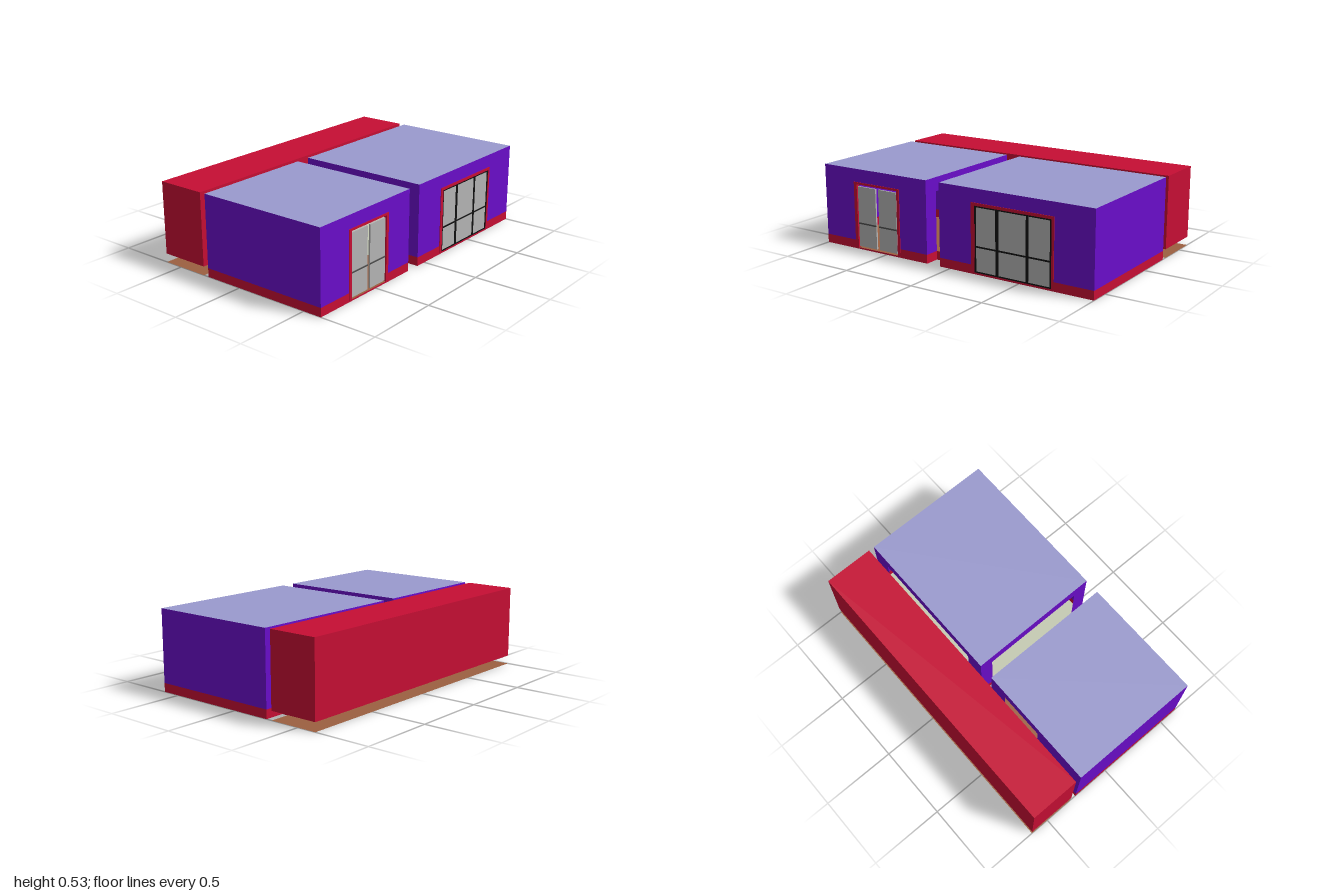
import * as THREE from 'three';
import { mergeGeometries } from 'three/addons/utils/BufferGeometryUtils.js';

const mat = (name, color, side = THREE.DoubleSide) => {
  const m = new THREE.MeshStandardMaterial({ color, side });
  m.name = name;
  return m;
};

export function createModel() {
  const M = {
    purple: mat('purple wall', 0x6a0dca),
    red: mat('red paint', 0xc60e34),
    ceiling: mat('lavender ceiling', 0x9a9ace),
    wood: mat('brown floor', 0x9c6040),
    tile: mat('pale green floor', 0xc5cab2),
    pane: mat('grey pane', 0xb4b4b4, THREE.FrontSide),
    bar: mat('dark grey bar', 0x505050, THREE.FrontSide),
    black: mat('black frame', 0x101010, THREE.FrontSide),
  };
  const model = new THREE.Group();
  const H = 0.53, BASE = 0.057, DOOR = 0.44;
  const F = 0.626, RB = -0.259, CF = -0.298, CB = -0.629; // room front/back, hall front/back

  const add = (parent, name, geo, material) => {
    const mesh = new THREE.Mesh(geo, material);
    mesh.name = name;
    parent.add(mesh);
    return mesh;
  };
  const group = (name) => {
    const g = new THREE.Group();
    g.name = name;
    model.add(g);
    return g;
  };
  const box = (parent, name, x0, x1, y0, y1, z0, z1, material) => add(parent, name,
    new THREE.BoxGeometry(x1 - x0, y1 - y0, z1 - z0)
      .translate((x0 + x1) / 2, (y0 + y1) / 2, (z0 + z1) / 2), material);

  // Horizontal sheet for floors and ceilings
  const slab = (parent, name, x0, x1, z0, z1, y, material) => add(parent, name,
    new THREE.PlaneGeometry(x1 - x0, z1 - z0).rotateX(-Math.PI / 2)
      .translate((x0 + x1) / 2, y, (z0 + z1) / 2), material);

  // Thin upright band from a to b with an optional opening [a, b, bottom, top]
  const band = (parent, name, axis, at, a, b, lo, hi, hole, material) => {
    let rects = [[a, b, lo, hi]];
    if (hole) {
      const [ha, hb, h0, h1] = hole;
      rects = [[a, ha, lo, hi], [hb, b, lo, hi],
        [ha, hb, lo, Math.min(h0, hi)], [ha, hb, Math.max(h1, lo), hi]];
    }
    const geos = rects.filter(([p, q, r, s]) => q - p > 1e-4 && s - r > 1e-4)
      .map(([p, q, r, s]) => new THREE.PlaneGeometry(q - p, s - r)
        .translate((p + q) / 2, (r + s) / 2, 0));
    const geo = mergeGeometries(geos);
    if (axis === 'x') geo.translate(0, 0, at);
    else geo.rotateY(-Math.PI / 2).translate(at, 0, 0);
    return add(parent, name, geo, material);
  };

  // Painted wall with skirting underneath
  const wall = (parent, name, axis, at, a, b, hole) => {
    band(parent, name + 'Wall', axis, at, a, b, BASE, H, hole, M.purple);
    band(parent, name + 'Skirting', axis, at, a, b, 0, BASE, hole, M.red);
  };

  // Openings
  const frontDoor = [-0.73, -0.405, 0.01, 0.43];
  const frontWindow = [0.187, 0.722, 0.012, 0.426];
  const backDoor = [-0.613, -0.303, 0, DOOR];
  const backArch = [0.053, 0.87, 0, DOOR];
  const sideArch = [-0.168, 0.527, 0, DOOR];

  // Two rooms, open to each other and to the hall behind
  const rooms = [
    ['rightRoom', -1, -0.174, frontDoor, backDoor, M.wood, null, sideArch],
    ['leftRoom', -0.074, 1, frontWindow, backArch, M.tile, sideArch, null],
  ];
  for (const [name, x0, x1, front, back, floor, holeA, holeB] of rooms) {
    const g = group(name);
    wall(g, 'front', 'x', F, x0, x1, front);
    wall(g, 'back', 'x', RB, x0, x1, back);
    wall(g, 'rightSide', 'z', x0, RB, F, holeA);
    wall(g, 'leftSide', 'z', x1, RB, F, holeB);
    slab(g, 'floor', x0, x1, RB, F, 0, floor);
    slab(g, 'ceiling', x0, x1, RB, F, H, M.ceiling);
  }

  // Hall along the back, its walls stopping above the floor
  const hall = group('hall');
  band(hall, 'hallBackWall', 'x', CB, -1, 1, BASE, H, null, M.red);
  const hallFront = [[-1, -0.124, backDoor], [-0.124, 1, backArch]];
  for (const [a, b, hole] of hallFront)
    band(hall, 'hallFrontWall', 'x', CF, a, b, BASE, H, hole, M.red);
  for (const x of [-1, 1]) band(hall, 'hallEndWall', 'z', x, CB, CF, BASE, H, null, M.red);
  slab(hall, 'hallFloor', -1, 1, CB, CF, 0, M.wood);
  slab(hall, 'hallCeiling', -1, 1, CB, CF, H, M.red);

  // Thresholds with low skirting at their ends
  const links = group('thresholds');
  for (const [hole, m] of [[backDoor, M.wood], [backArch, M.tile]]) {
    slab(links, 'backThreshold', hole[0], hole[1], CF, RB, 0, m);
    for (const x of [hole[0], hole[1]])
      band(links, 'thresholdSkirting', 'z', x, CF, RB, 0, BASE, null, M.red);
  }
  slab(links, 'sideThresholdWood', -0.174, -0.124, sideArch[0], sideArch[1], 0, M.wood);
  slab(links, 'sideThresholdTile', -0.124, -0.074, sideArch[0], sideArch[1], 0, M.tile);
  for (const z of [sideArch[0], sideArch[1]])
    band(links, 'thresholdSkirting', 'x', z, -0.174, -0.074, 0, BASE, null, M.red);

  // Red surround on three sides of an opening
  const surround = (g, x0, x1, top, hole) => {
    const z0 = F - 0.016, z1 = F + 0.004;
    box(g, 'surroundRight', x0, hole[0], 0.01, top, z0, z1, M.red);
    box(g, 'surroundLeft', hole[1], x1, 0.01, top, z0, z1, M.red);
    box(g, 'surroundTop', hole[0], hole[1], hole[3], top, z0, z1, M.red);
  };
  const leaf = (g, x0, x1, barMaterial) => {
    box(g, 'pane', x0, x1, 0.02, 0.417, F - 0.012, F - 0.001, M.pane);
    box(g, 'crossBar', x0, x1, 0.169, 0.179, F - 0.014, F + 0.001, barMaterial);
  };

  // Double door
  const door = group('frontDoor');
  surround(door, -0.754, -0.385, 0.444, frontDoor);
  leaf(door, -0.725, -0.58, M.bar);
  leaf(door, -0.556, -0.412, M.bar);

  // Three-part window in a black frame
  const win = group('frontWindow');
  surround(win, 0.163, 0.738, 0.444, frontWindow);
  const leaves = [[0.198, 0.337], [0.358, 0.548], [0.566, 0.71]];
  const edges = [0.187, ...leaves.flat(), 0.722];
  for (let i = 0; i < edges.length; i += 2)
    box(win, 'windowPost', edges[i], edges[i + 1], 0.012, 0.426, F - 0.014, F + 0.001, M.black);
  for (const [a, b] of leaves) {
    leaf(win, a, b, M.black);
    box(win, 'windowHead', a, b, 0.417, 0.426, F - 0.014, F + 0.001, M.black);
    box(win, 'windowSill', a, b, 0.012, 0.02, F - 0.014, F + 0.001, M.black);
  }

  return model;
}
